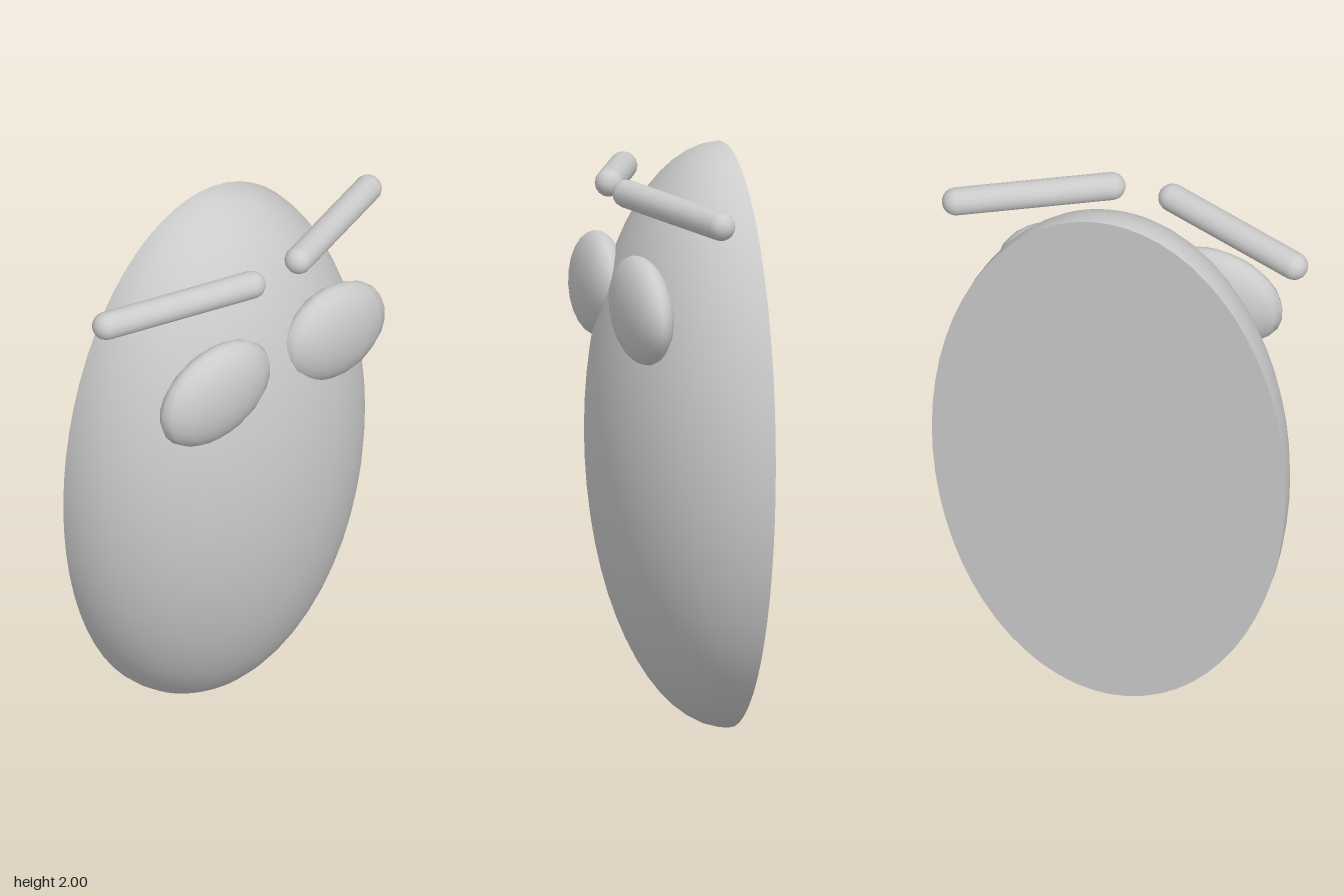
import * as THREE from 'three';

export function createModel() {
  const model = new THREE.Group();
  const material = new THREE.MeshStandardMaterial({ color: 0xcccccc });
  const add = (name, geometry) => {
    const mesh = new THREE.Mesh(geometry, material);
    mesh.name = name;
    model.add(mesh);
    return mesh;
  };

  // Half ellipsoid body, closed by a flat oval back
  const body = add('body', new THREE.SphereGeometry(1, 32, 32, 0, Math.PI));
  body.scale.set(0.625, 1, 0.46);
  body.position.set(0, 1, -0.23);

  const back = add('flatBack', new THREE.CircleGeometry(1, 64));
  back.scale.set(0.625, 1, 1);
  back.rotation.y = Math.PI;
  back.position.set(0, 1, -0.23);

  for (const [side, s] of [['left', 1], ['right', -1]]) {
    // Flattened eye, its inner end tilted slightly up and forward
    const eye = add(side + 'Eye', new THREE.SphereGeometry(1, 16, 12));
    eye.scale.set(0.235, 0.178, 0.086);
    eye.rotation.set(0, s * 0.05, -s * 0.19);
    eye.position.set(s * 0.27, 1.49, 0.14);

    // Rod-like eyebrow sweeping outward and back
    const inner = new THREE.Vector3(s * 0.108, 1.862, 0.145);
    const outer = new THREE.Vector3(s * 0.597, 1.825, -0.046);
    const span = outer.clone().sub(inner);
    const brow = add(side + 'Eyebrow', new THREE.CapsuleGeometry(0.048, span.length(), 8, 16));
    brow.position.copy(inner).add(outer).multiplyScalar(0.5);
    brow.quaternion.setFromUnitVectors(new THREE.Vector3(0, 1, 0), span.normalize());
  }
  return model;
}
